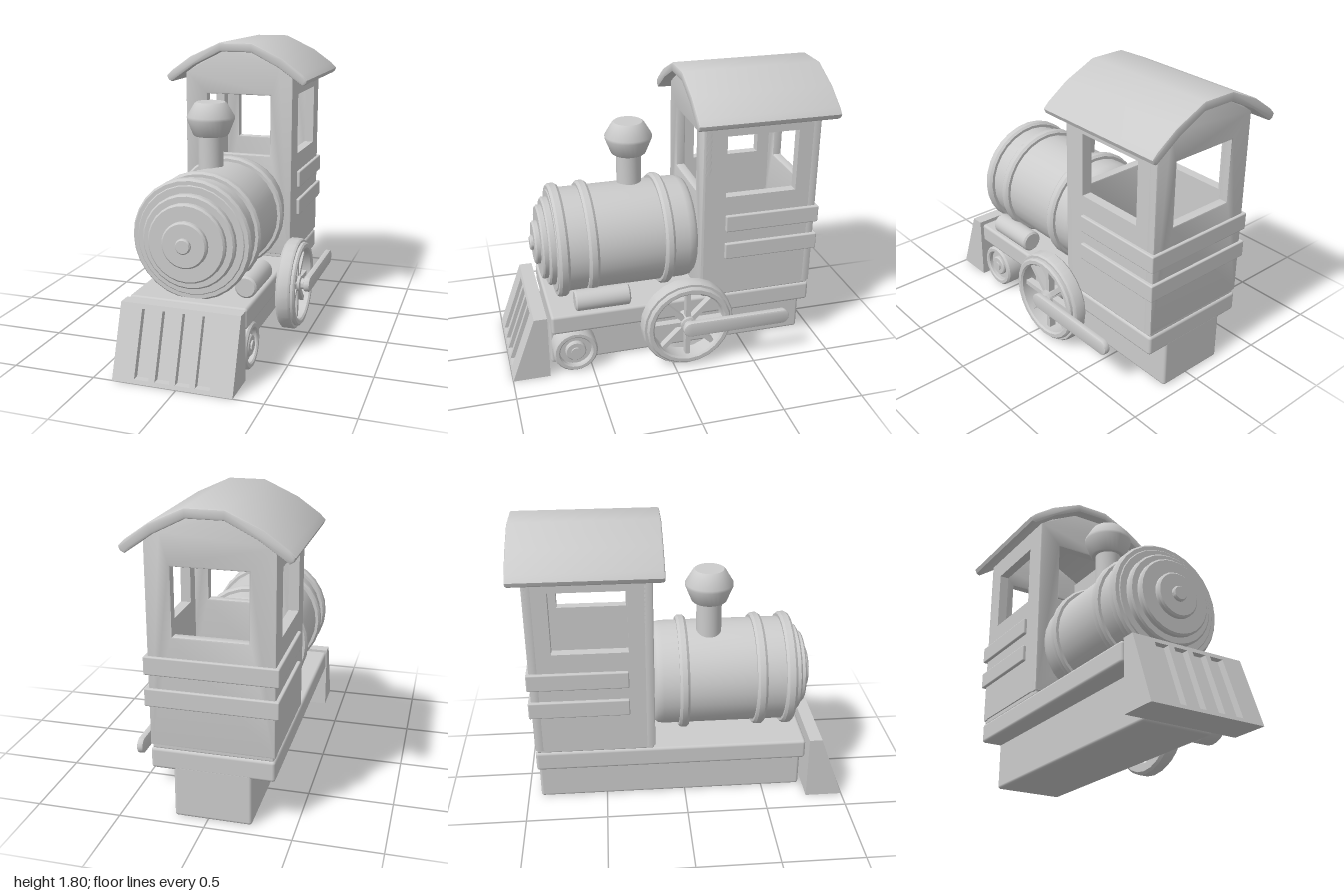
import * as THREE from 'three';
import { toCreasedNormals } from 'three/addons/utils/BufferGeometryUtils.js';
import { RoundedBoxGeometry } from 'three/addons/geometries/RoundedBoxGeometry.js';

const CX = -0.03; // centre line of the body
const LEFT = 0.325, RIGHT = -0.385; // body sides

export function createModel() {
  const model = new THREE.Group();
  const mat = new THREE.MeshStandardMaterial({ color: 0xcccccc });

  function add(name, geo, parent = model) {
    const mesh = new THREE.Mesh(geo, mat);
    mesh.name = name;
    parent.add(mesh);
    return mesh;
  }
  function group(name) {
    const g = new THREE.Group();
    g.name = name;
    model.add(g);
    return g;
  }
  // rounded box given by its extents
  function box(name, [x0, x1], [y0, y1], [z0, z1], r, parent) {
    const geo = new RoundedBoxGeometry(x1 - x0, y1 - y0, z1 - z0, 2, r);
    geo.translate((x0 + x1) / 2, (y0 + y1) / 2, (z0 + z1) / 2);
    return add(name, geo, parent);
  }
  // turned part; profile is [radius, distance along axis]
  function turned(name, profile, axis, [x, y, z], parent, sides = 28) {
    let geo = new THREE.LatheGeometry(profile.map(p => new THREE.Vector2(...p)), sides);
    geo = toCreasedNormals(geo, 0.6);
    if (axis === 'x') geo.rotateZ(-Math.PI / 2);
    if (axis === 'z') geo.rotateX(Math.PI / 2);
    return add(name, geo.translate(x, y, z), parent);
  }
  // outline extruded to an exact thickness, with optional bevel and window
  function slab(points, depth, bevel = 0, window) {
    const shape = new THREE.Shape(points.map(p => new THREE.Vector2(...p)));
    if (window) {
      const [u0, u1, v0, v1] = window;
      shape.holes.push(new THREE.Path([[u0, v0], [u0, v1], [u1, v1], [u1, v0]].map(p => new THREE.Vector2(...p))));
    }
    const geo = new THREE.ExtrudeGeometry(shape, {
      depth: depth - 2 * bevel, bevelEnabled: bevel > 0, bevelSize: bevel,
      bevelThickness: bevel, bevelOffset: -bevel, bevelSegments: 2,
    });
    return toCreasedNormals(geo.translate(0, 0, bevel), 0.6);
  }
  // same, with the outline in (z, y) and its +x face at x
  const sideSlab = (x, ...args) => slab(...args).rotateY(-Math.PI / 2).translate(x, 0, 0);

  // chassis: wide running board on a narrower beam
  box('runningBoard', [RIGHT, LEFT], [0.3, 0.425], [-0.92, 0.745], 0.018);
  box('chassisBeam', [-0.255, 0.195], [0.01, 0.33], [-0.92, 0.745], 0.018);

  // cowcatcher: solid bars alternating with recessed slots
  const catcher = group('cowcatcher');
  const bar = [[0.77, 0.01], [1, 0.01], [0.85, 0.425], [0.77, 0.425]];
  const slot = [[0.77, 0.01], [1, 0.01], [0.992, 0.032], [0.95, 0.032],
    [0.817, 0.4], [0.859, 0.4], [0.85, 0.425], [0.77, 0.425]];
  const cuts = [RIGHT, -0.253, -0.167, -0.13, -0.044, -0.01, 0.076, 0.107, 0.193, LEFT];
  for (let i = 0; i < cuts.length - 1; i++) {
    const isSlot = i % 2 === 1;
    add(isSlot ? 'catcherSlot' : 'catcherBar', sideSlab(cuts[i + 1], isSlot ? slot : bar, cuts[i + 1] - cuts[i]), catcher);
  }

  // boiler with rounded rear, bands and stepped front
  const boiler = group('boiler');
  const axisAt = [CX, 0.765, 0];
  turned('boilerBarrel', [[0, -0.195], [0.27, -0.195], [0.3, -0.185], [0.318, -0.165], [0.325, -0.13],
    [0.325, 0.64], [0, 0.64]], 'z', axisAt, boiler);
  for (const [z0, z1] of [[-0.035, 0.025], [0.432, 0.495], [0.61, 0.675]]) {
    turned('boilerBand', [[0.31, z0], [0.343, z0], [0.355, z0 + 0.015], [0.355, z1 - 0.015],
      [0.343, z1], [0.31, z1]], 'z', axisAt, boiler);
  }
  turned('boilerFront', [[0.33, 0.63], [0.33, 0.665], [0.315, 0.68], [0.275, 0.68], [0.275, 0.71], [0.265, 0.72],
    [0.23, 0.72], [0.23, 0.745], [0.22, 0.755], [0.135, 0.755], [0.135, 0.777], [0.125, 0.787],
    [0.045, 0.787], [0.045, 0.8], [0.038, 0.807], [0, 0.807]], 'z', axisAt, boiler);

  // chimney
  turned('chimney', [[0.077, 1.0], [0.077, 1.275], [0.1, 1.275], [0.108, 1.282], [0.145, 1.375], [0.145, 1.392],
    [0.1, 1.468], [0.088, 1.478], [0, 1.478]], 'y', [-0.09, 0, 0.16]);

  // steam cylinder
  turned('steamCylinder', [[0, 0.25], [0.055, 0.25], [0.066, 0.26], [0.066, 0.58], [0.055, 0.59], [0, 0.59]],
    'z', [0.265, 0.49, 0]);

  // cab walls with windows, hollow inside
  const cab = group('cab');
  const endWall = [[RIGHT, 0.445], [LEFT, 0.445], [LEFT, 1.62], [CX + 0.27, 1.67], [CX + 0.1, 1.765],
    [CX - 0.1, 1.765], [CX - 0.27, 1.67], [RIGHT, 1.62]];
  for (const [name, z] of [['cabFrontWall', -0.25], ['cabBackWall', -0.92]]) {
    add(name, slab(endWall, 0.06, 0.01, [-0.24, 0.18, 1.095, 1.48]).translate(0, 0, z), cab);
  }
  const sideWall = [[-0.905, 0.45], [-0.205, 0.45], [-0.205, 1.625], [-0.905, 1.625]];
  for (const [name, x] of [['cabLeftWall', LEFT], ['cabRightWall', RIGHT + 0.06]]) {
    add(name, sideSlab(x, sideWall, 0.06, 0, [-0.78, -0.335, 1.095, 1.48]), cab);
  }
  box('cabFloor', [RIGHT + 0.01, LEFT - 0.01], [0.42, 0.5], [-0.91, -0.2], 0.01, cab);

  // raised bands round the sides and back of the cab
  for (const [y0, y1] of [[0.683, 0.788], [0.868, 0.975]]) {
    box('leftTrim', [LEFT - 0.03, LEFT + 0.021], [y0, y1], [-0.937, -0.338], 0.008, cab);
    box('rightTrim', [RIGHT - 0.021, RIGHT + 0.03], [y0, y1], [-0.937, -0.338], 0.008, cab);
    box('backTrim', [RIGHT - 0.021, LEFT + 0.021], [y0, y1], [-0.937, -0.89], 0.008, cab);
  }

  // arched roof
  const outer = [[0.463, 1.592], [0.43, 1.626], [0.3, 1.718], [0.105, 1.808]];
  const inner = [[0.1, 1.752], [0.275, 1.664], [0.39, 1.583], [0.43, 1.555], [0.452, 1.567]];
  const half = [...outer, ...inner].map(([x, y]) => [CX + x, y]);
  const mirrored = half.map(([x, y]) => [2 * CX - x, y]).reverse();
  const roof = [...half.slice(0, 4), ...mirrored.slice(5), ...mirrored.slice(0, 5), ...half.slice(4)];
  add('roof', slab(roof, 0.868, 0.012).translate(0, 0, -0.993));

  // driving wheel: rim, hub and spokes
  const wheel = group('drivingWheel');
  const hubAt = [0, 0.3, -0.09];
  turned('wheelRim', [[0.225, 0.33], [0.275, 0.33], [0.29, 0.345], [0.29, 0.408], [0.282, 0.42], [0.268, 0.42],
    [0.268, 0.435], [0.258, 0.445], [0.235, 0.445], [0.225, 0.435], [0.225, 0.33]], 'x', hubAt, wheel, 24);
  turned('wheelHub', [[0, 0.19], [0.05, 0.19], [0.05, 0.425], [0.035, 0.43], [0.035, 0.47], [0, 0.47]], 'x', hubAt, wheel);
  for (let i = 0; i < 4; i++) {
    const spoke = add('spokePair', new THREE.BoxGeometry(0.045, 0.47, 0.03), wheel);
    spoke.position.set(0.385, hubAt[1], hubAt[2]);
    spoke.rotation.x = i * Math.PI / 4;
  }

  // connecting rod with rounded ends
  const rod = new THREE.Shape();
  rod.absarc(-0.088, 0.302, 0.048, -Math.PI / 2, Math.PI / 2);
  rod.absarc(-0.68, 0.302, 0.048, Math.PI / 2, Math.PI * 1.5);
  add('connectingRod', sideSlab(0.49, rod.getPoints(8).slice(0, -1).map(p => [p.x, p.y]), 0.038, 0.008));

  // small leading wheel
  turned('leadingWheel', [[0, 0.19], [0.128, 0.19], [0.139, 0.2], [0.139, 0.305], [0.128, 0.317], [0.108, 0.317],
    [0.1, 0.309], [0.1, 0.285], [0.065, 0.285], [0.065, 0.303], [0.058, 0.31], [0.03, 0.31], [0.03, 0.32], [0, 0.32]],
  'x', [0, 0.15, 0.602], model, 24);

  return model;
}
